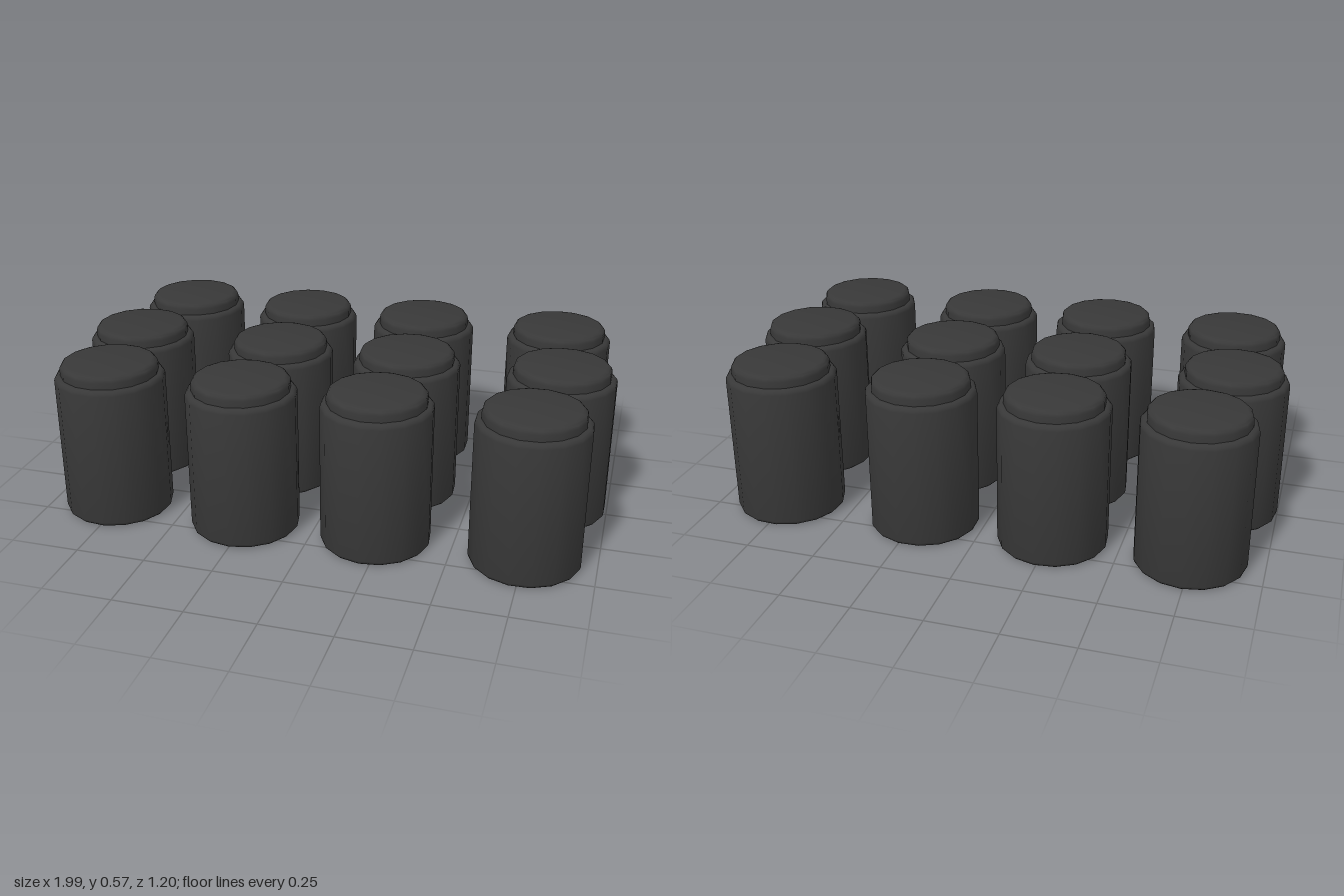
import * as THREE from 'three';
import { toCreasedNormals } from 'three/addons/utils/BufferGeometryUtils.js';

// Quarter-round corner points, centre (cx, cy), swept from angle a to b (degrees)
function corner(cx, cy, r, a, b, steps = 3) {
  const pts = [];
  for (let i = 0; i <= steps; i++) {
    const t = THREE.MathUtils.degToRad(a + (b - a) * i / steps);
    pts.push(new THREE.Vector2(cx + r * Math.cos(t), cy + r * Math.sin(t)));
  }
  return pts;
}

const R = 0.195, LID_R = 0.173, SHOULDER = 0.527, TOP = 0.57, SIDES = 16;

function turned(points) {
  return toCreasedNormals(new THREE.LatheGeometry(points, SIDES), THREE.MathUtils.degToRad(40));
}

export function createModel() {
  const model = new THREE.Group();
  model.name = 'canisters';
  const material = new THREE.MeshStandardMaterial({ color: 0x383838 });

  // Body: flat base, rounded foot, straight wall, rounded shoulder
  const bodyGeometry = turned([
    new THREE.Vector2(0, 0),
    ...corner(R - 0.016, 0.016, 0.016, -90, 0),
    ...corner(R - 0.018, SHOULDER - 0.018, 0.018, 0, 90),
    new THREE.Vector2(LID_R - 0.01, SHOULDER),
  ]);

  // Lid: short step with a rounded rim and flat top
  const lidGeometry = turned([
    new THREE.Vector2(LID_R, SHOULDER - 0.005),
    ...corner(LID_R - 0.02, TOP - 0.02, 0.02, 0, 90),
    new THREE.Vector2(0, TOP),
  ]);

  // Slightly uneven grid: three rows of four, each [x, z]
  const rows = [
    [[-0.745, -0.405], [-0.26, -0.403], [0.217, -0.403], [0.745, -0.408]],
    [[-0.805, -0.005], [-0.243, 0], [0.24, -0.005], [0.8, -0.01]],
    [[-0.755, 0.387], [-0.253, 0.402], [0.227, 0.388], [0.753, 0.387]],
  ];
  rows.forEach((row, r) => row.forEach(([x, z], c) => {
    const canister = new THREE.Group();
    canister.name = `canister${r * 4 + c + 1}`;
    const body = new THREE.Mesh(bodyGeometry, material);
    body.name = 'body';
    const lid = new THREE.Mesh(lidGeometry, material);
    lid.name = 'lid';
    canister.add(body, lid);
    canister.position.set(x, 0, z);
    canister.rotation.y = (r * 4 + c) * 0.7;
    model.add(canister);
  }));
  return model;
}
